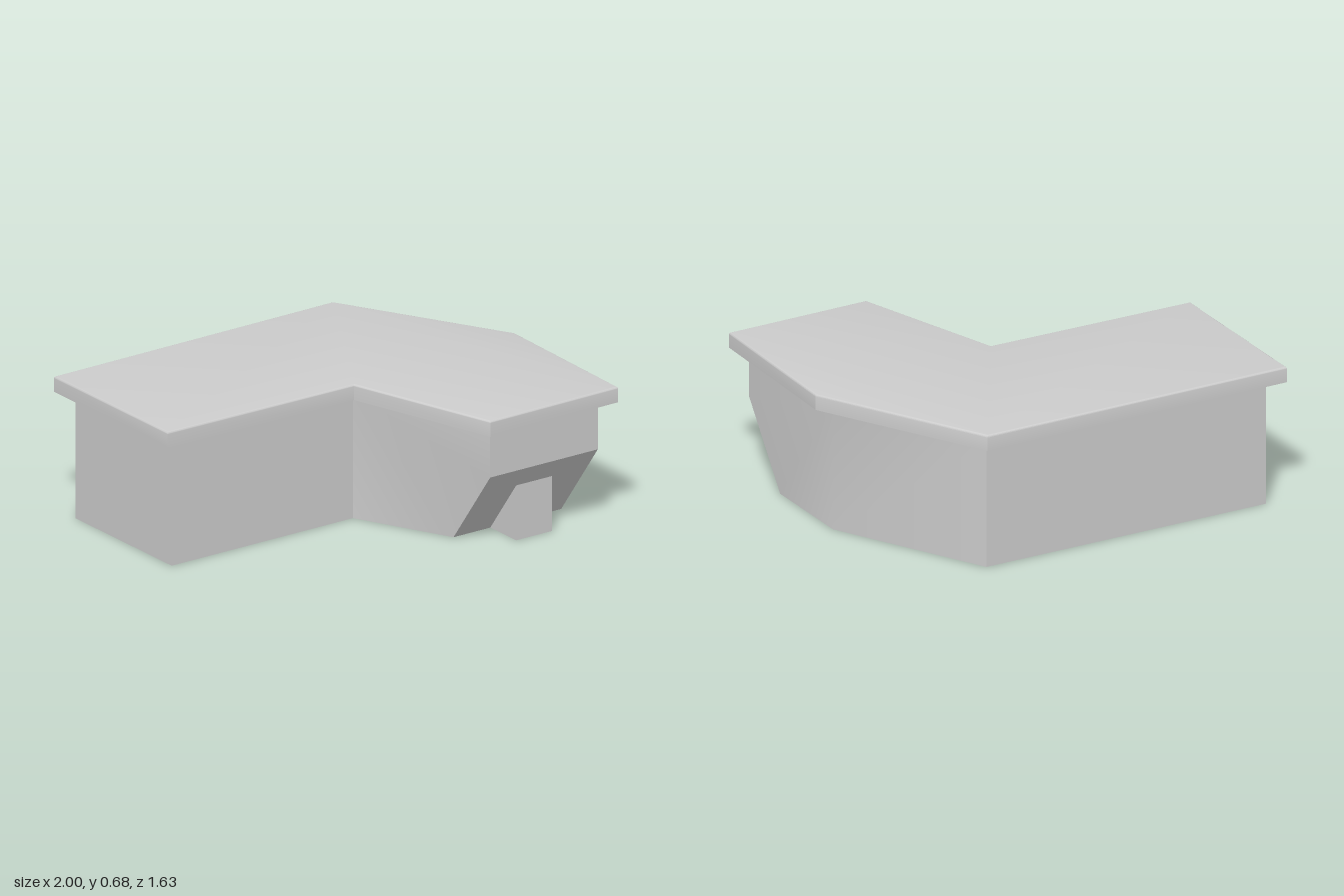
import * as THREE from 'three';
import { toCreasedNormals } from 'three/addons/utils/BufferGeometryUtils.js';

const CREASE = Math.PI / 6;

// Mesh from flat polygons, each a loop of [x, y, z] corners, counter-clockwise from outside
function panels(name, polygons, material) {
  const pos = [];
  for (const p of polygons)
    for (let i = 1; i < p.length - 1; i++) pos.push(...p[0], ...p[i], ...p[i + 1]);
  const geo = new THREE.BufferGeometry();
  geo.setAttribute('position', new THREE.Float32BufferAttribute(pos, 3));
  const mesh = new THREE.Mesh(toCreasedNormals(geo, CREASE), material);
  mesh.name = name;
  return mesh;
}

export function createModel() {
  const group = new THREE.Group();
  group.name = 'cornerCounter';
  const grey = new THREE.MeshStandardMaterial({ color: 0xcccccc });
  const shell = new THREE.MeshStandardMaterial({ color: 0xcccccc, side: THREE.DoubleSide });

  // Countertop: slab with softened upper edge and flat underside
  const outline = [[-1, -0.805], [0.565, -0.818], [0.998, -0.02], [0.975, 0.8],
    [0.255, 0.81], [0.03, 0.077], [-1, 0.065]];
  const bevel = 0.01, y0 = 0.605, y1 = 0.68;
  const slab = new THREE.ExtrudeGeometry(
    new THREE.Shape(outline.map(([x, z]) => new THREE.Vector2(x, -z))),
    { depth: y1 - y0 - bevel, bevelThickness: bevel, bevelSize: bevel, bevelOffset: -bevel, bevelSegments: 4 });
  const p = slab.attributes.position;
  for (let i = 0; i < p.count; i++) p.setZ(i, Math.max(0, p.getZ(i)));
  slab.rotateX(-Math.PI / 2).translate(0, y0, 0);
  const top = new THREE.Mesh(toCreasedNormals(slab, CREASE), grey);
  top.name = 'countertop';
  group.add(top);

  // Base: open-bottomed walls, with the wing front undercut to a toe slope
  const H = y0, kneeY = 0.375, kneeZ = 0.74, toeZ = 0.46;
  const xl = 0.305, xr = 0.905;
  const slope = (x, y) => [x, y, toeZ + (kneeZ - toeZ) * y / kneeY];
  const wall = ([ax, az], [bx, bz]) => [[ax, 0, az], [bx, 0, bz], [bx, H, bz], [ax, H, az]];
  const inner = [0.08, 0], frontEnd = [-0.93, 0], backEnd = [-0.93, -0.735];
  const backCorner = [0.525, -0.737], sideCorner = [xr, -0.015];
  group.add(panels('baseWalls', [
    wall(frontEnd, inner),
    wall(backEnd, frontEnd),
    wall(backCorner, backEnd),
    wall(sideCorner, backCorner),
    [[0.08, H, 0], [0.08, 0, 0], slope(xl, 0), slope(xl, kneeY), [xl, H, kneeZ]],
    [[xr, H, -0.015], [xr, H, kneeZ], slope(xr, kneeY), slope(xr, 0), [xr, 0, -0.015]],
    [[xl, kneeY, kneeZ], [xr, kneeY, kneeZ], [xr, H, kneeZ], [xl, H, kneeZ]],
  ], shell));

  // Toe slope, open behind the foot block
  const fl = 0.51, fr = 0.71, fy = 0.265;
  const slopePanel = (a, b, lo, hi) => [slope(a, lo), slope(b, lo), slope(b, hi), slope(a, hi)];
  group.add(panels('toeSlope', [
    slopePanel(xl, fl, 0, fy),
    slopePanel(fr, xr, 0, fy),
    slopePanel(xl, xr, fy, kneeY),
  ], shell));

  // Foot block: upright face with triangular sides running back to the slope
  const fz = slope(0, fy)[2];
  group.add(panels('footBlock', [
    [[fl, 0, fz], [fr, 0, fz], [fr, fy, fz], [fl, fy, fz]],
    [[fr, 0, fz], slope(fr, 0), [fr, fy, fz]],
    [slope(fl, 0), [fl, 0, fz], [fl, fy, fz]],
  ], shell));

  return group;
}
